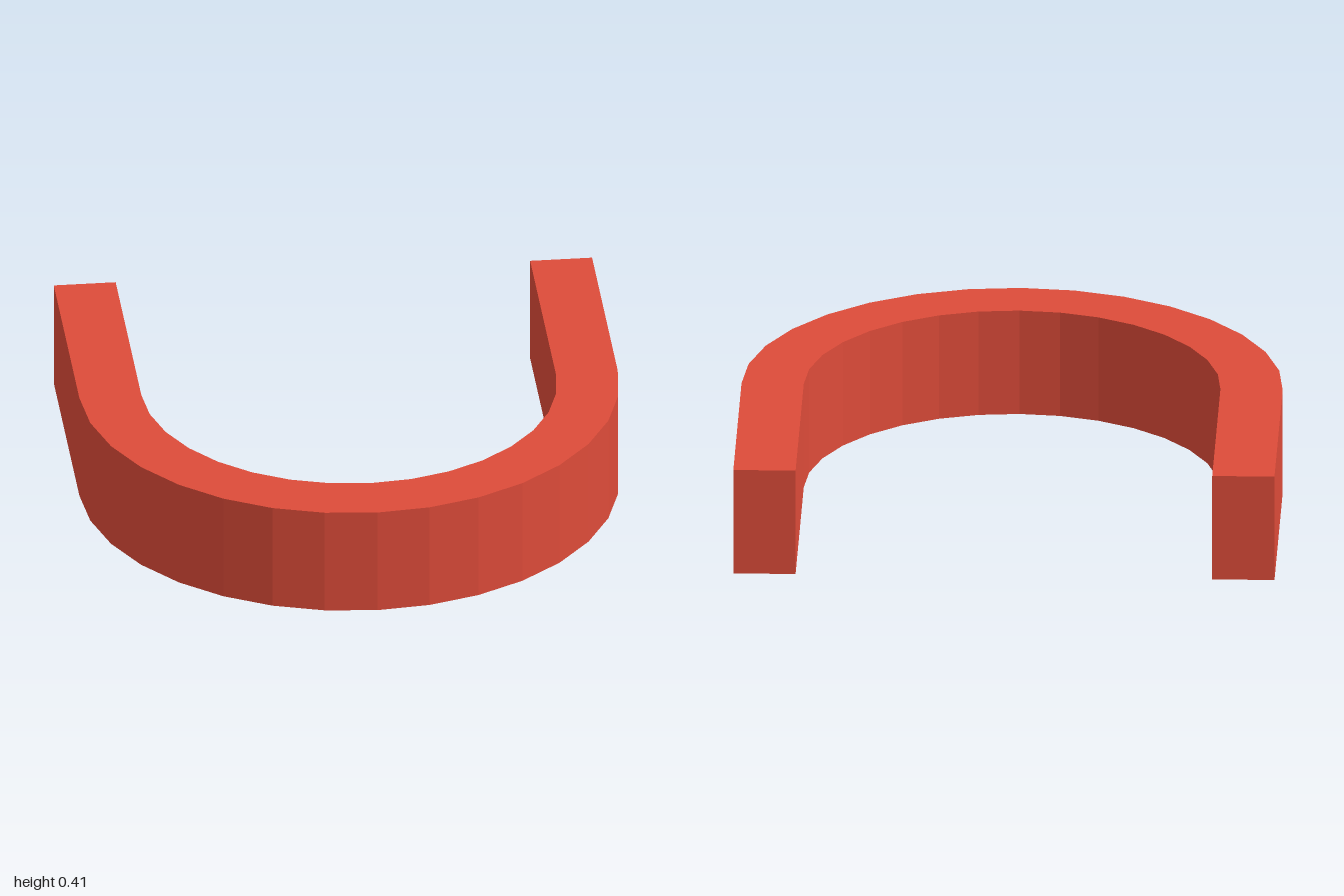
import * as THREE from 'three';

const OUTER = 1, INNER = 0.77; // bend radii
const BEND_Z = -0.06, END_Z = -0.94; // bend centre and leg ends
const HEIGHT = 0.41;

export function createModel() {
  const group = new THREE.Group();
  group.name = 'horseshoeBar';

  // U outline in plan, shape y becomes z
  const outline = new THREE.Shape();
  outline.moveTo(OUTER, END_Z);
  outline.lineTo(OUTER, BEND_Z);
  outline.absarc(0, BEND_Z, OUTER, 0, Math.PI, false);
  outline.lineTo(-OUTER, END_Z);
  outline.lineTo(-INNER, END_Z);
  outline.lineTo(-INNER, BEND_Z);
  outline.absarc(0, BEND_Z, INNER, Math.PI, 0, true);
  outline.lineTo(INNER, END_Z);
  outline.closePath();

  // Each half-circle gets 16 facets
  const geometry = new THREE.ExtrudeGeometry(outline, {
    depth: HEIGHT, bevelEnabled: false, curveSegments: 8,
  });
  geometry.rotateX(Math.PI / 2);
  geometry.translate(0, HEIGHT, 0);

  const material = new THREE.MeshStandardMaterial({ color: 0xdd4b39, flatShading: true });
  const bar = new THREE.Mesh(geometry, material);
  bar.name = 'curvedBar';
  group.add(bar);
  return group;
}
